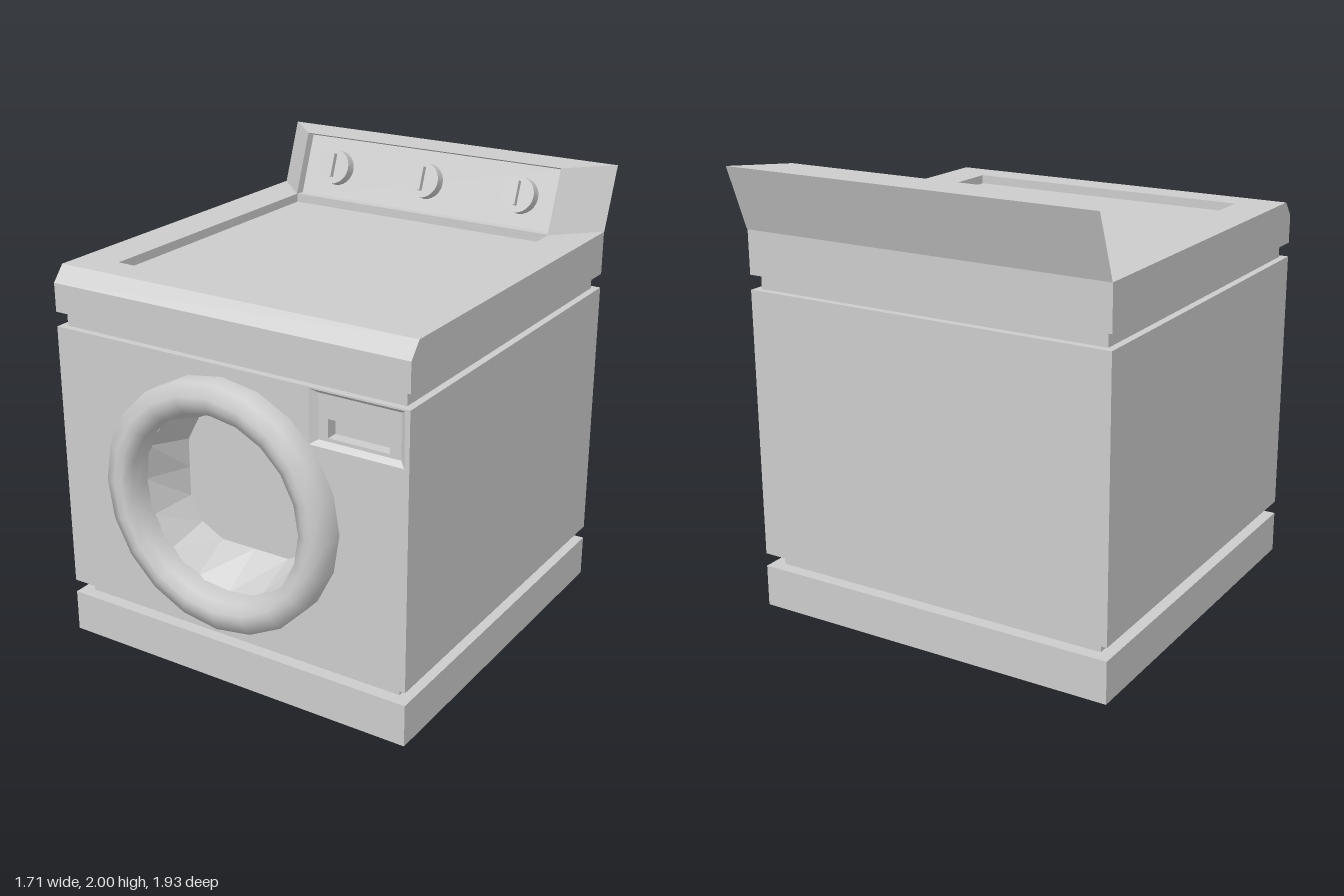
import * as THREE from 'three';

const steel = new THREE.MeshStandardMaterial({ color: 0xcccccc });

// Skins a series of convex loops of [x, y, z]; optional flat caps at either end
function loft(loops, capStart, capEnd) {
  const pos = [];
  const tri = (a, b, c) => pos.push(...a, ...b, ...c);
  const n = loops[0].length;
  for (let k = 0; k + 1 < loops.length; k++) {
    const a = loops[k], b = loops[k + 1];
    for (let i = 0; i < n; i++) {
      const j = (i + 1) % n;
      tri(a[i], a[j], b[j]);
      tri(a[i], b[j], b[i]);
    }
  }
  const first = loops[0], last = loops[loops.length - 1];
  for (let i = 1; i + 1 < n; i++) {
    if (capStart) tri(first[0], first[i + 1], first[i]);
    if (capEnd) tri(last[0], last[i], last[i + 1]);
  }
  const g = new THREE.BufferGeometry();
  g.setAttribute('position', new THREE.Float32BufferAttribute(pos, 3));
  g.computeVertexNormals();
  return g;
}

// Rectangular loops: level (seen from above) and upright (seen from the front)
const levelRect = (x, z0, z1, y) => [[x, y, z1], [x, y, z0], [-x, y, z0], [-x, y, z1]];
const uprightRect = (x0, x1, y0, y1, z) => [[x0, y0, z], [x1, y0, z], [x1, y1, z], [x0, y1, z]];
const toPath = (loop, Type) => new Type(loop.map(([x, y]) => new THREE.Vector2(x, y)));

export function createModel() {
  const model = new THREE.Group();
  const add = (name, geometry, parent = model) => {
    const mesh = new THREE.Mesh(geometry, steel);
    mesh.name = name;
    parent.add(mesh);
    return mesh;
  };
  const block = (name, half, y0, y1, z1 = half) => {
    const depth = z1 + half;
    add(name, new THREE.BoxGeometry(half * 2, y1 - y0, depth)).position.set(0, (y0 + y1) / 2, z1 - depth / 2);
  };

  // Stacked cabinet with shadow gaps
  const H = 0.857;
  block('plinth', H, 0, 0.19);
  block('lowerGap', 0.8, 0.19, 0.25);
  block('cabinet', H, 0.25, 1.46, 0.6);
  block('upperGap', 0.825, 1.46, 1.525);

  // Cabinet front with openings for the drum and the drawer
  const doorY = 0.862;
  const drumMouth = [];
  for (let i = 0; i < 16; i++) {
    const a = (i * Math.PI) / 8;
    drumMouth.push([0.42 * Math.cos(a), doorY + 0.42 * Math.sin(a), H]);
  }
  const drawerOuter = uprightRect(0.41, 0.835, 1.22, 1.453, H);
  const drawerInner = uprightRect(0.44, 0.81, 1.24, 1.435, 0.835);
  const slot = uprightRect(0.485, 0.76, 1.255, 1.335, 0.835);
  const front = toPath(uprightRect(-H, H, 0.25, 1.46, 0), THREE.Shape);
  front.holes.push(toPath(drumMouth, THREE.Path), toPath(drawerOuter, THREE.Path));
  add('cabinetFront', new THREE.ExtrudeGeometry(front, { depth: H - 0.6, bevelEnabled: false })).position.z = 0.6;

  // Drum recess narrowing to a rounded rectangle
  const quarter = [[0.335, 0], [0.335, 0.133], [0.276, 0.244], [0.17, 0.3], [0, 0.3]];
  const drumBack = [];
  for (let i = 0; i < 16; i++) {
    const q = Math.floor(i / 4), r = i % 4;
    const [x, y] = quarter[q % 2 ? 4 - r : r];
    drumBack.push([q === 1 || q === 2 ? -x : x, doorY + (q > 1 ? -y : y), 0.66]);
  }
  add('drumRecess', loft([drumMouth, drumBack], false, true));

  // Door ring
  const ringProfile = [[0.55, 0.85], [0.55, 0.945], [0.495, 0.969], [0.46, 0.969], [0.415, 0.945], [0.415, 0.85]];
  const ring = add('doorRing', new THREE.LatheGeometry(ringProfile.map(([r, z]) => new THREE.Vector2(r, z)), 20));
  ring.rotation.x = Math.PI / 2;
  ring.position.y = doorY;

  // Drawer face with a finger slot
  add('drawerBevel', loft([drawerOuter, drawerInner]));
  const face = toPath(drawerInner, THREE.Shape);
  face.holes.push(toPath(slot, THREE.Path));
  add('drawerFace', new THREE.ShapeGeometry(face)).position.z = 0.835;
  add('drawerSlot', loft([slot, slot.map(([x, y, z]) => [x, y, z - 0.05])], false, true));

  // Worktop with a chamfered front edge and a sunken centre
  add('worktop', loft([
    levelRect(H, -H, H, 1.525),
    levelRect(H, -H, H, 1.652),
    levelRect(H, -H, 0.8, 1.72),
    levelRect(0.67, -0.68, 0.66, 1.72),
    levelRect(0.67, -0.68, 0.66, 1.68),
  ], true, true));

  // Leaning control panel with mitred ends and an inset face
  const lean = Math.atan2(0.105, 0.28);
  const leaning = (x, zBottom, inset = 0) => {
    const dy = -inset * Math.sin(lean), dz = -inset * Math.cos(lean);
    const at = (sx, y, z) => [sx * x, y + dy, z + dz];
    return [at(-1, 1.72, zBottom), at(1, 1.72, zBottom), at(1, 2, zBottom - 0.105), at(-1, 2, zBottom - 0.105)];
  };
  add('controlPanel', loft([leaning(H, -0.86), leaning(0.668, -0.672), leaning(0.665, -0.672, 0.043)], true, true));

  // Three knobs with grip ridges
  for (const [i, x] of [-0.487, 0, 0.487].entries()) {
    const knob = new THREE.Group();
    knob.name = 'knob' + (i + 1);
    knob.position.set(x, 1.853, -0.766);
    knob.rotation.x = -lean;
    const dial = add('dial', new THREE.CylinderGeometry(0.082, 0.082, 0.055, 24), knob);
    dial.rotation.x = Math.PI / 2;
    dial.position.z = 0.0225;
    add('ridge', new THREE.BoxGeometry(0.016, 0.11, 0.03), knob).position.set(0, 0.005, 0.06);
    model.add(knob);
  }
  return model;
}
